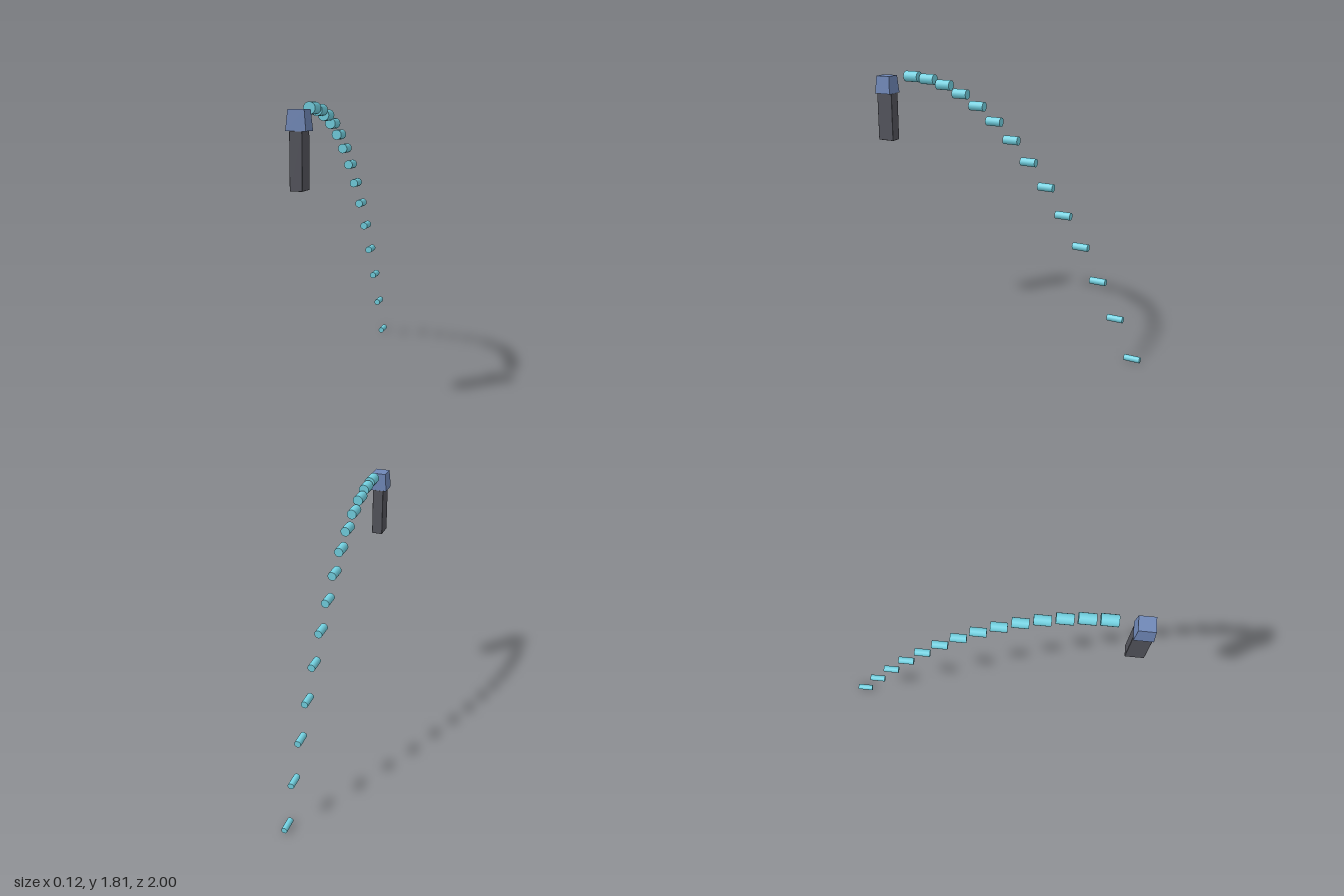
import * as THREE from 'three';
import { RoundedBoxGeometry } from 'three/addons/geometries/RoundedBoxGeometry.js';

const material = (color, flatShading = false) => new THREE.MeshStandardMaterial({ color, flatShading });

function addMesh(parent, name, geometry, mat, x, y, z) {
  const mesh = new THREE.Mesh(geometry, mat);
  mesh.name = name;
  mesh.position.set(x, y, z);
  parent.add(mesh);
  return mesh;
}

// Box whose top is narrower than its base
function taperedBox(width, height, depth, topX, topZ) {
  const geometry = new THREE.BoxGeometry(width, height, depth);
  const p = geometry.attributes.position;
  for (let i = 0; i < p.count; i++) {
    if (p.getY(i) > 0) {
      p.setX(i, p.getX(i) * topX);
      p.setZ(i, p.getZ(i) * topZ);
    }
  }
  geometry.computeVertexNormals();
  return geometry;
}

export function createModel() {
  const model = new THREE.Group();
  model.name = 'model';

  // Upright nozzle: dark handle with a flared blue head
  const nozzle = new THREE.Group();
  nozzle.name = 'nozzle';
  nozzle.position.z = 0.939;
  model.add(nozzle);
  addMesh(nozzle, 'handle', new RoundedBoxGeometry(0.077, 0.335, 0.122, 1, 0.004),
    material(0x55565e), 0, 1.478, 0);
  addMesh(nozzle, 'head', taperedBox(0.121, 0.122, 0.122, 0.81, 0.87),
    material(0x7088b8, true), 0, 1.706, 0);

  // Falling arc of short horizontal segments, each thinner than the last
  const stream = new THREE.Group();
  stream.name = 'stream';
  model.add(stream);
  const water = material(0x74d4e4);
  for (let i = 0; i < 14; i++) {
    const radius = 0.037 - 0.0013 * i;
    const geometry = new THREE.CylinderGeometry(radius, radius, 0.107, 16).rotateX(Math.PI / 2);
    const y = 1.772 - 0.0008 * i - 0.0103 * i * i;
    addMesh(stream, `streamSegment${i + 1}`, geometry, water, 0, y, 0.72 - 0.1282 * i);
  }
  return model;
}
